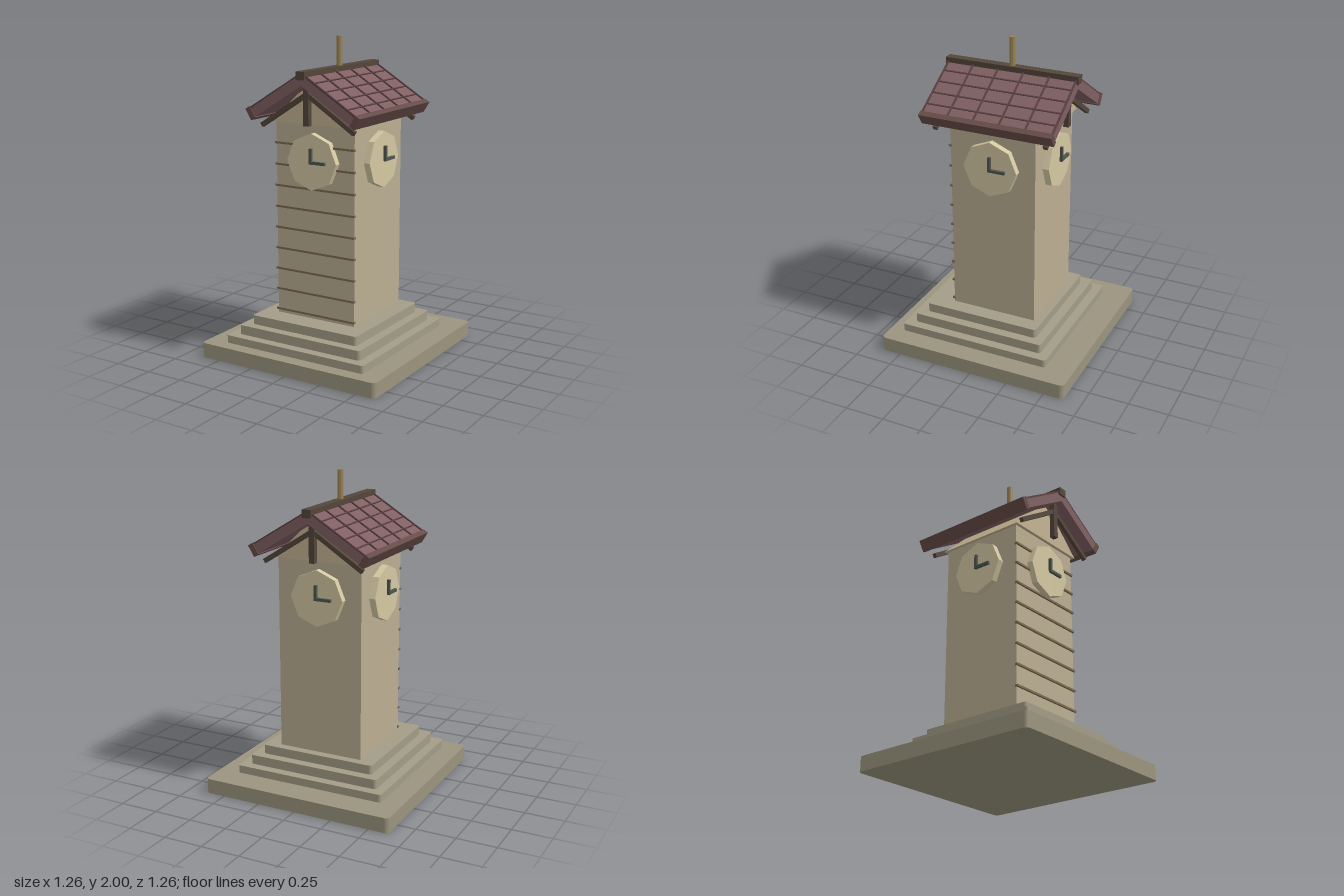
import * as THREE from 'three';

const mat = (color) => new THREE.MeshStandardMaterial({ color, flatShading: true });
const M = {
  base: mat(0x9b947e), step: mat(0xa39c87), wall: mat(0xbbae91), gable: mat(0xc4b391),
  plank: mat(0x7d6c52), tile: mat(0x805f62), seam: mat(0x5a4042), timber: mat(0x54463a),
  eave: mat(0x664c48), dial: mat(0xd4c8a2), hand: mat(0x50564f), brass: mat(0x9c8450),
};

function add(parent, name, geometry, material, x = 0, y = 0, z = 0) {
  const mesh = new THREE.Mesh(geometry, material);
  mesh.name = name;
  mesh.position.set(x, y, z);
  parent.add(mesh);
  return mesh;
}

const box = (parent, name, material, w, h, d, x, y, z) =>
  add(parent, name, new THREE.BoxGeometry(w, h, d), material, x, y, z);

function group(parent, name) {
  const g = new THREE.Group();
  g.name = name;
  parent.add(g);
  return g;
}

// Square slab lying flat, rounded at its vertical corners
function roundedSlab(half, height, r) {
  const s = new THREE.Shape();
  const c = half - r;
  [[c, -c, -Math.PI / 2], [c, c, 0], [-c, c, Math.PI / 2], [-c, -c, Math.PI]]
    .forEach(([x, y, a]) => s.absarc(x, y, r, a, a + Math.PI / 2, false));
  const geo = new THREE.ExtrudeGeometry(s, { depth: height, bevelEnabled: false, curveSegments: 4 });
  return geo.rotateX(-Math.PI / 2);
}

// One roof slope falling towards +x, with its tile seams and eave board
function roofSlope() {
  const slope = new THREE.Group();
  const angle = 0.55, length = 0.435, thick = 0.06;
  slope.position.y = 1.805;
  slope.rotation.z = -angle;
  box(slope, 'roofSlab', M.tile, length, thick, 0.85, length / 2, -thick / 2, 0);
  for (let i = 0; i <= 5; i++) {
    box(slope, 'tileSeamDown', M.seam, length, 0.012, 0.01, length / 2, 0.002, -0.42 + i * 0.168);
  }
  for (let i = 0; i < 4; i++) {
    box(slope, 'tileSeamAcross', M.seam, 0.008, 0.01, 0.85, (0.085 + i * 0.075) / Math.cos(angle), 0.001, 0);
  }
  box(slope, 'eaveBoard', M.eave, 0.035, 0.078, 0.86, length + 0.012, -0.027, 0);
  return slope;
}

export function createModel() {
  const model = new THREE.Group();
  model.name = 'clockTower';

  // Plinth and steps, set a little forward
  add(model, 'plinth', roundedSlab(0.63, 0.095, 0.03), M.base);
  [[0.5, 0.095, 0.05], [0.44, 0.145, 0.06], [0.38, 0.205, 0.058]].forEach(([half, y, h]) =>
    add(model, 'step', roundedSlab(half, h, 0.02), M.step, 0, y, 0.045));

  // Tower body with boards across the front
  box(model, 'tower', M.wall, 0.56, 1.23, 0.56, 0, 0.875, 0);
  for (let i = 0; i < 9; i++) {
    box(model, 'frontBoard', M.plank, 0.57, 0.013, 0.02, 0, 0.29 + i * 0.1335, 0.282);
  }

  // Gable block under the roof
  const tri = new THREE.Shape([
    new THREE.Vector2(-0.3, 1.488), new THREE.Vector2(0.3, 1.488), new THREE.Vector2(0, 1.77),
  ]);
  add(model, 'gable', new THREE.ExtrudeGeometry(tri, { depth: 0.6, bevelEnabled: false }), M.gable, 0, 0, -0.3);

  // Clocks on all four sides
  for (let i = 0; i < 4; i++) {
    const clock = group(model, 'clock');
    clock.rotation.y = i * Math.PI / 2;
    const dial = new THREE.CylinderGeometry(0.175, 0.175, 0.045, 8).rotateX(Math.PI / 2);
    add(clock, 'dial', dial, M.dial, 0, 1.265, 0.2985);
    box(clock, 'hourHand', M.hand, 0.018, 0.095, 0.018, 0, 1.302, 0.329);
    box(clock, 'minuteHand', M.hand, 0.112, 0.018, 0.018, 0.047, 1.264, 0.329);
  }

  // Roof slopes, ridge beam and finial
  const roof = group(model, 'roof');
  for (const turn of [0, Math.PI]) {
    const half = group(roof, 'roofHalf');
    half.rotation.y = turn;
    half.add(roofSlope());
  }
  box(roof, 'ridgeBeam', M.timber, 0.058, 0.05, 0.874, 0, 1.795, 0);
  add(roof, 'finial', new THREE.CylinderGeometry(0.019, 0.019, 0.22, 12), M.brass, 0, 1.89, 0);

  // Post and braces at both gable ends
  for (const side of [1, -1]) {
    const truss = group(model, 'gableTruss');
    truss.position.z = side * 0.36;
    box(truss, 'post', M.timber, 0.036, 0.255, 0.034, 0, 1.618, 0);
    for (const s of [1, -1]) {
      const brace = box(truss, 'brace', M.timber, 0.39, 0.028, 0.026, s * 0.163, 1.577, 0);
      brace.rotation.z = -s * 0.567;
    }
  }
  return model;
}
